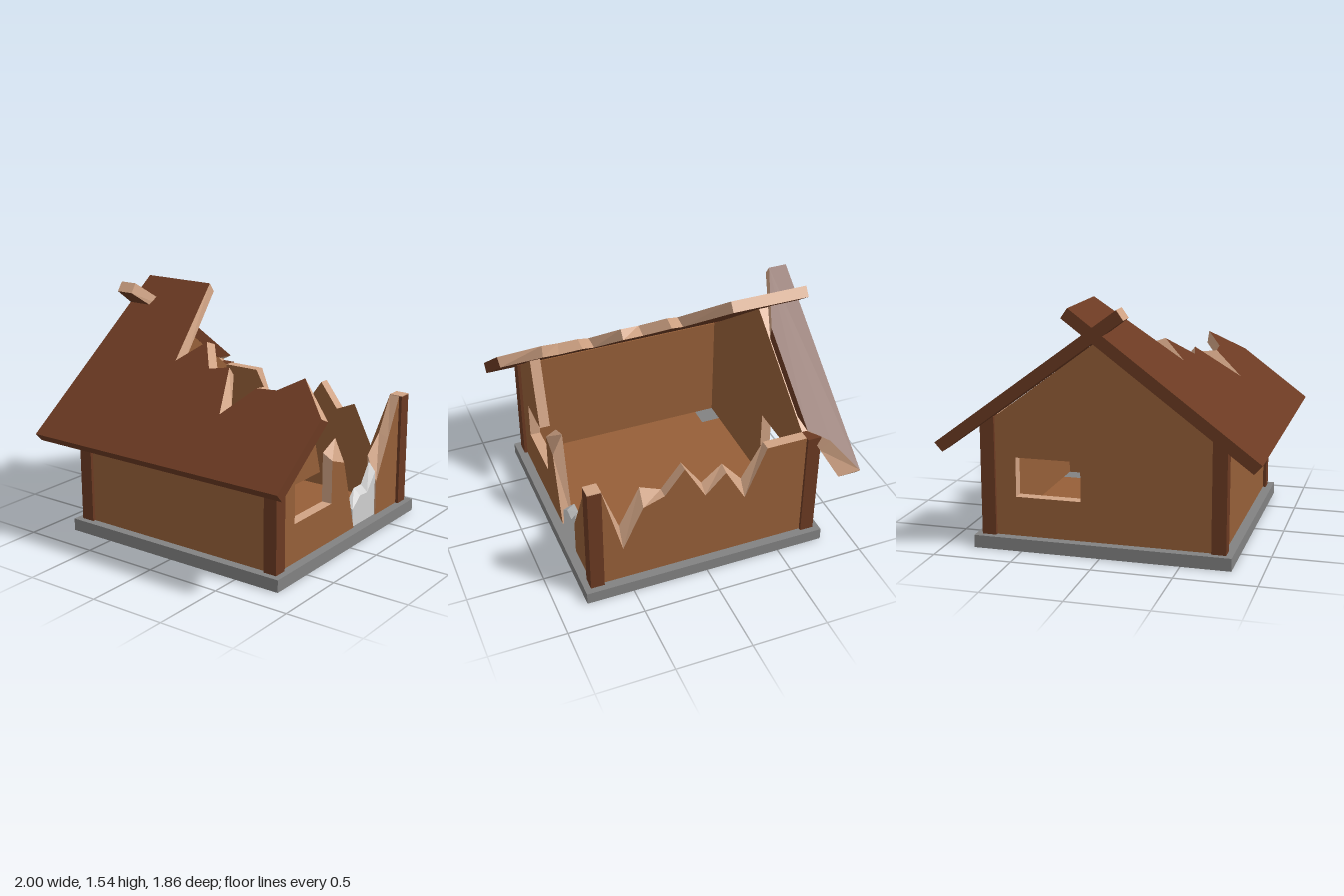
import * as THREE from 'three';

const mat = (name, color) => Object.assign(new THREE.MeshStandardMaterial({ color }), { name });

export function createModel() {
  const group = new THREE.Group();
  const wallWood = mat('wallWood', 0x965f38);
  const darkWood = mat('darkWood', 0x6b3a22);
  const splinter = mat('splinteredWood', 0xd0a384);
  const stone = mat('stone', 0x828282);
  const doorGrey = mat('doorGrey', 0xcfcfcf);

  const add = (name, geo, material) => {
    const mesh = new THREE.Mesh(geo, material);
    mesh.name = name;
    group.add(mesh);
    return mesh;
  };
  const box = (name, material, x0, x1, y0, y1, z0, z1) =>
    add(name, new THREE.BoxGeometry(x1 - x0, y1 - y0, z1 - z0), material)
      .position.set((x0 + x1) / 2, (y0 + y1) / 2, (z0 + z1) / 2);

  // Broken slab: two counter-clockwise outlines (outer, inner) joined by side faces.
  // place(u, v, isOuter) gives the point; plain lists the side faces left unsplintered.
  const slab = (name, faceMat, sideMat, outer, inner, place, plain = []) => {
    const faces = [], sides = [];
    const put = (list, ...pts) => pts.forEach((p) => list.push(...p));
    const O = outer.map((p) => place(p[0], p[1], true));
    const I = inner.map((p) => place(p[0], p[1], false));
    [[outer, O, 1], [inner, I, -1]].forEach(([flat, pts, dir]) => {
      const v = flat.map((p) => new THREE.Vector2(...p));
      THREE.ShapeUtils.triangulateShape(v, []).forEach(([a, b, c]) => {
        const area = THREE.ShapeUtils.area([v[a], v[b], v[c]]) * dir;
        if (area > 0) put(faces, pts[a], pts[b], pts[c]);
        else put(faces, pts[a], pts[c], pts[b]);
      });
    });
    outer.forEach((_, i) => {
      const j = (i + 1) % outer.length;
      put(plain.includes(i) ? faces : sides, I[i], I[j], O[j], I[i], O[j], O[i]);
    });
    const geo = new THREE.BufferGeometry();
    geo.setAttribute('position', new THREE.Float32BufferAttribute([...faces, ...sides], 3));
    geo.addGroup(0, faces.length / 3, 0);
    geo.addGroup(faces.length / 3, sides.length / 3, 1);
    geo.computeVertexNormals();
    add(name, geo, [faceMat, sideMat]);
  };

  const shapeOf = (pts) => new THREE.Shape(pts.map((p) => new THREE.Vector2(...p)));
  const extrude = (shape, depth) => new THREE.ExtrudeGeometry(shape, { depth, bevelEnabled: false });

  // Stone footing with square corner blocks, and the plank floor inside it
  const a = 0.68, b = 0.545, e = 0.81;
  const floorOutline = [[b, -a], [b, -b], [a, -b], [a, b], [b, b], [b, a],
    [-b, a], [-b, b], [-a, b], [-a, -b], [-b, -b], [-b, -a]];
  const footing = shapeOf([[-e, -e], [e, -e], [e, e], [-e, e]]);
  footing.holes.push(shapeOf(floorOutline));
  add('footing', extrude(footing, 0.08).rotateX(-Math.PI / 2), stone);
  add('floor', extrude(shapeOf(floorOutline), 0.08).rotateX(-Math.PI / 2), wallWood);

  // Corner posts; the front left one stands bare, with a fresh broken top
  for (const sx of [-1, 1]) for (const sz of [-1, 1]) {
    const x = sx * 0.725, z = sz * 0.725;
    box('cornerPost', darkWood, x - 0.045, x + 0.045, 0.08, 0.83, z - 0.045, z + 0.045);
  }
  box('postTop', splinter, 0.68, 0.77, 0.83, 0.835, 0.68, 0.77);

  // Intact right wall
  box('rightWall', wallWood, -0.75, -0.68, 0.08, 0.83, -0.68, 0.68);

  // Back gable wall with a window
  const gable = shapeOf([[-0.68, 0.08], [0.68, 0.08], [0.68, 0.83], [0, 1.34], [-0.68, 0.83]]);
  gable.holes.push(shapeOf([[0.135, 0.33], [0.55, 0.33], [0.55, 0.58], [0.135, 0.58]]));
  add('backWall', extrude(gable, 0.07).translate(0, 0, -0.75), [wallWood, splinter]);

  // Broken front wall, either side of the doorway
  const front = (u, v, outer) => [u, v, outer ? 0.75 : 0.68];
  const frontLow = [[-0.68, 0.08], [0.135, 0.08]];
  const frontHigh = [[-0.14, 0.33], [-0.55, 0.33], [-0.55, 0.58], [-0.28, 0.58], [-0.41, 1.035], [-0.68, 0.83]];
  slab('frontWallWindowSide', wallWood, splinter,
    [...frontLow, [0, 0.56], [-0.14, 0.61], ...frontHigh],
    [...frontLow, [0, 0.71], [-0.14, 0.65], ...frontHigh], front);
  slab('frontWallPostSide', wallWood, splinter,
    [[0.41, 0.08], [0.68, 0.08], [0.68, 0.83], [0.55, 0.575], [0.41, 0.31]],
    [[0.41, 0.08], [0.68, 0.08], [0.68, 0.83], [0.55, 0.6], [0.41, 0.48]], front);

  // Remains of the door
  slab('brokenDoor', doorGrey, doorGrey,
    [[0.135, 0.08], [0.41, 0.08], [0.41, 0.38], [0.315, 0.265], [0.225, 0.27], [0.135, 0.2]],
    [[0.135, 0.08], [0.41, 0.08], [0.41, 0.44], [0.315, 0.31], [0.225, 0.31], [0.135, 0.22]],
    (u, v, outer) => [u, v, outer ? 0.74 : 0.69]);

  // Jagged left wall: z, outer height, inner height
  const jag = [[-0.68, 0.83, 0.83], [-0.41, 0.83, 0.83], [-0.27, 0.48, 0.58], [-0.135, 0.72, 0.74],
    [0, 0.58, 0.63], [0.14, 0.83, 0.83], [0.27, 0.66, 0.66], [0.41, 0.61, 0.72],
    [0.545, 0.32, 0.45], [0.68, 0.83, 0.83]];
  const leftOutline = (k) => [[-0.68, 0.08], [0.68, 0.08], ...jag.map((p) => [-p[0], p[k]])];
  slab('leftWall', wallWood, splinter, leftOutline(1), leftOutline(2),
    (u, v, outer) => [outer ? 0.75 : 0.68, v, -u]);

  // Roof slopes, drawn in plan as x and z
  const slope = (side) => (u, v, outer) => [u, (outer ? 1.432 : 1.341) - side * 0.742 * u, -v];
  const plan = (pts) => pts.map(([x, z]) => [x, -z]);

  // Right slope: z, top x, underside x along the torn edge
  const tear = [[0.93, -0.56, -0.486], [0.68, -0.35, -0.338], [0.545, -0.45, -0.433],
    [0.405, -0.46, -0.355], [0.27, -0.65, -0.53], [0.135, -0.37, -0.325], [0, -0.4, -0.312],
    [-0.14, -0.24, -0.158], [-0.275, -0.39, -0.29], [-0.41, 0.145, 0.187], [-0.93, 0.145, 0.187]];
  const rightSlope = (k, eave) => plan([[eave, 0.93], ...tear.map((p) => [p[k], p[0]]), [eave, -0.93]]);
  slab('rightRoof', darkWood, splinter, rightSlope(1, -1), rightSlope(2, -0.95), slope(-1), [0, 11, 12]);

  // Left slope: only a strip along the back remains
  slab('leftRoofRemnant', darkWood, splinter,
    plan([[-0.145, -0.81], [0.18, -0.685], [0.74, -0.685], [0.82, -0.81], [0.995, -0.926], [1, -0.93], [-0.145, -0.93]]),
    plan([[-0.187, -0.81], [0.17, -0.685], [0.6, -0.685], [0.8, -0.755], [0.95, -0.81], [0.95, -0.93], [-0.187, -0.93]]),
    slope(1), [1, 5]);

  return group;
}
